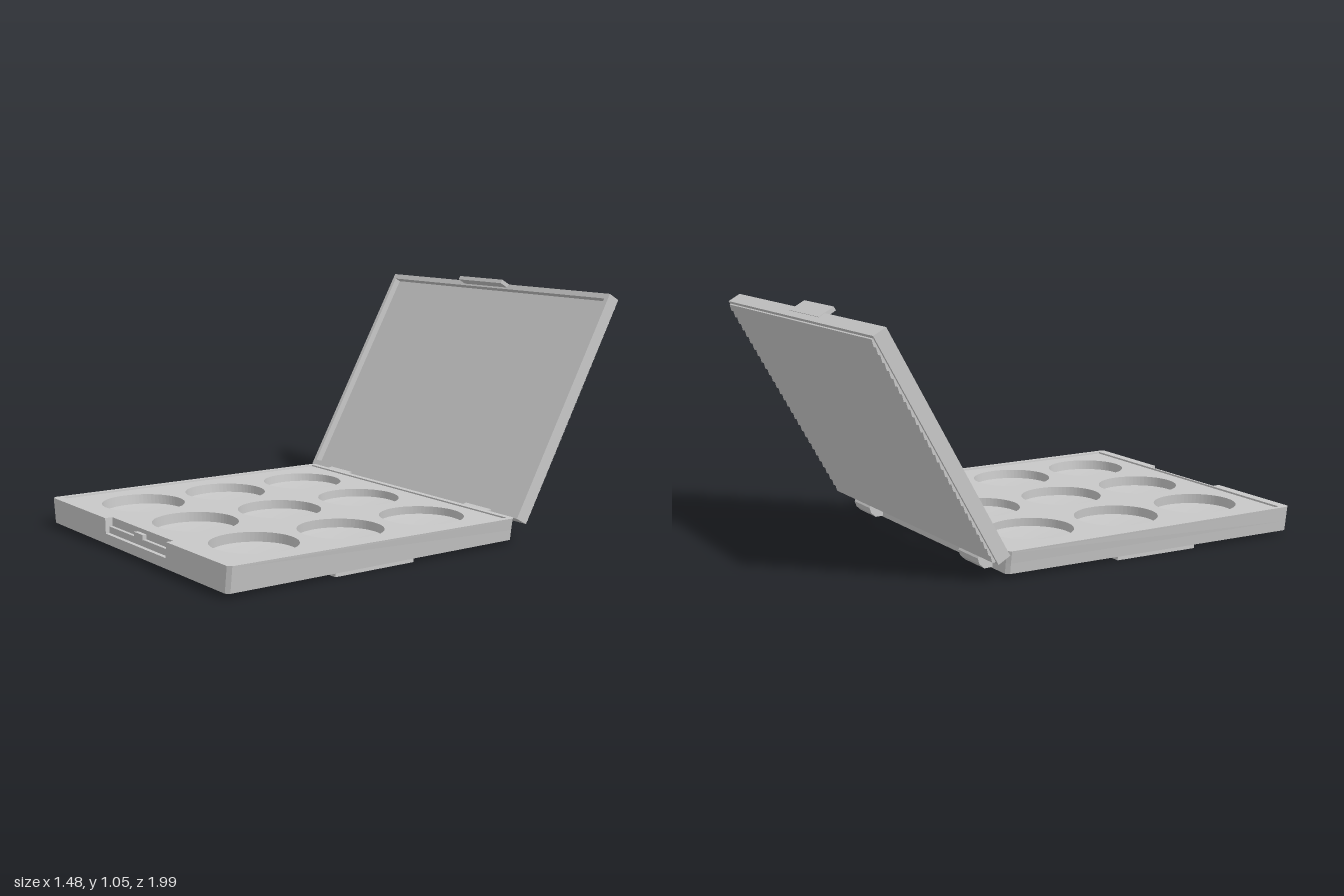
import * as THREE from 'three';

const grey = new THREE.MeshStandardMaterial({ color: 0xc8c8c8 });
grey.name = 'plain grey';

function add(parent, geometry, name) {
  const mesh = new THREE.Mesh(geometry, grey);
  mesh.name = name;
  parent.add(mesh);
  return mesh;
}

function box(parent, name, x0, x1, y0, y1, z0, z1) {
  const g = new THREE.BoxGeometry(x1 - x0, y1 - y0, z1 - z0);
  g.translate((x0 + x1) / 2, (y0 + y1) / 2, (z0 + z1) / 2);
  return add(parent, g, name);
}

const polygon = (points) => new THREE.Shape(points.map(([x, y]) => new THREE.Vector2(x, y)));
const rectangle = (x0, x1, y0, y1) => polygon([[x0, y0], [x1, y0], [x1, y1], [x0, y1]]);

// Slab with a plan outline in x and z, between two heights
function slab(shape, bottom, top) {
  const g = new THREE.ExtrudeGeometry(shape, { depth: top - bottom, bevelEnabled: false, curveSegments: 32 });
  return g.rotateX(Math.PI / 2).translate(0, top, 0);
}

// Side profile in z and y, run along x
function sideExtrude(shape, x0, x1) {
  const g = new THREE.ExtrudeGeometry(shape, { depth: x1 - x0, bevelEnabled: false });
  return g.rotateY(-Math.PI / 2).translate(x1, 0, 0);
}

// Base is slightly thinner at the back and narrower underneath
function taper(g) {
  const p = g.attributes.position;
  for (let i = 0; i < p.count; i++) {
    const x = p.getX(i), y = p.getY(i), z = p.getZ(i);
    p.setX(i, 0.015 + (x - 0.015) * (1 - 0.2 * (0.125 - y)));
    p.setY(i, y - 0.013 * (1 - z) / 1.41 * Math.max(0, (y - 0.06) / 0.065));
  }
  g.computeVertexNormals();
  return g;
}

const X0 = -0.712, X1 = 0.738, Z0 = -0.412, Z1 = 1, C = 0.015;

// Base outline with clipped corners and, if asked, the latch notch
function baseOutline(notched) {
  const pts = [[X0 + C, Z0], [X1 - C, Z0], [X1, Z0 + C], [X1, Z1 - C], [X1 - C, Z1]];
  if (notched) pts.push([0.282, Z1], [0.282, 0.967], [-0.218, 0.967], [-0.218, Z1]);
  pts.push([X0 + C, Z1], [X0, Z1 - C], [X0, Z0 + C]);
  return polygon(pts);
}

function buildBase() {
  const base = new THREE.Group();
  base.name = 'base';
  add(base, taper(slab(baseOutline(false), 0.017, 0.06)), 'baseFloor');

  // Deck pierced by nine round wells
  const deck = baseOutline(true);
  const dish = new THREE.LatheGeometry(
    [[0.182, 0.073], [0.14, 0.069], [0.07, 0.065], [0, 0.063]].map(([r, y]) => new THREE.Vector2(r, y)).reverse(), 48);
  // Open dishes need their upper side facing out
  const dishMaterial = grey.clone();
  dishMaterial.side = THREE.DoubleSide;
  for (const z of [-0.137, 0.287, 0.706]) {
    for (const x of [-0.422, 0.015, 0.456]) {
      const hole = new THREE.Path();
      hole.absarc(x, z, 0.179, 0, Math.PI * 2, true);
      deck.holes.push(hole);
      const pan = add(base, dish, 'wellFloor');
      pan.material = dishMaterial;
      pan.position.set(x, 0, z);
    }
  }
  add(base, taper(slab(deck, 0.06, 0.117)), 'deck');

  // Raised rim
  const rim = baseOutline(true);
  rim.holes.push(rectangle(X0 + 0.022, X1 - 0.026, Z0 + 0.027, 0.957));
  add(base, taper(slab(rim, 0.117, 0.125)), 'rim');

  // Latch recess
  box(base, 'latchLedge', -0.217, 0.281, 0.058, 0.088, 0.955, 0.982);
  box(base, 'latchCatch', 0, 0.07, 0.085, 0.108, 0.955, 0.985);

  // Raised band underneath
  box(base, 'bottomBand', -0.69, 0.715, 0, 0.02, 0.115, 0.503);
  return base;
}

// Lid is built upright, then leaned back
function buildLid() {
  const lid = new THREE.Group();
  lid.name = 'lid';
  const L = -0.743, R = 0.735, B = 0.3, T = 1.352, front = -0.317, back = -0.391;

  const frame = rectangle(L, R, B, T);
  frame.holes.push(rectangle(L + 0.02, R - 0.022, B + 0.025, T - 0.024));
  const frameGeometry = new THREE.ExtrudeGeometry(frame, { depth: 0.06, bevelEnabled: false });
  add(lid, frameGeometry.translate(0, 0, front - 0.06), 'lidFrame');

  // Inner panel with a ribbed back
  const ribs = 30, low = B + 0.012, step = (T - 0.012 - low) / ribs;
  const pts = [[-0.347, low], [-0.347, T - 0.012]];
  for (let i = ribs; i > 0; i--) {
    pts.push([back + 0.007, low + i * step], [back, low + (i - 0.8) * step]);
  }
  pts.push([back + 0.007, low]);
  add(lid, sideExtrude(polygon(pts), L + 0.012, R - 0.012), 'ribbedPanel');

  // Latch tab
  box(lid, 'latchTab', -0.198, 0.097, T - 0.016, T + 0.002, front - 0.03, front + 0.045);
  lid.rotation.x = -THREE.MathUtils.degToRad(29.4);
  return lid;
}

function buildHinges() {
  const hinges = new THREE.Group();
  hinges.name = 'hinges';
  const profile = polygon([[-0.39, 0.022], [-0.39, 0.108], [-0.425, 0.117], [-0.45, 0.108],
    [-0.478, 0.064], [-0.47, 0.04], [-0.448, 0.02]]);
  for (const x of [-0.503, 0.49]) add(hinges, sideExtrude(profile, x - 0.08, x + 0.08), 'hinge');
  return hinges;
}

export function createModel() {
  const model = new THREE.Group();
  model.name = 'hingedPalette';
  model.add(buildBase(), buildLid(), buildHinges());
  return model;
}
